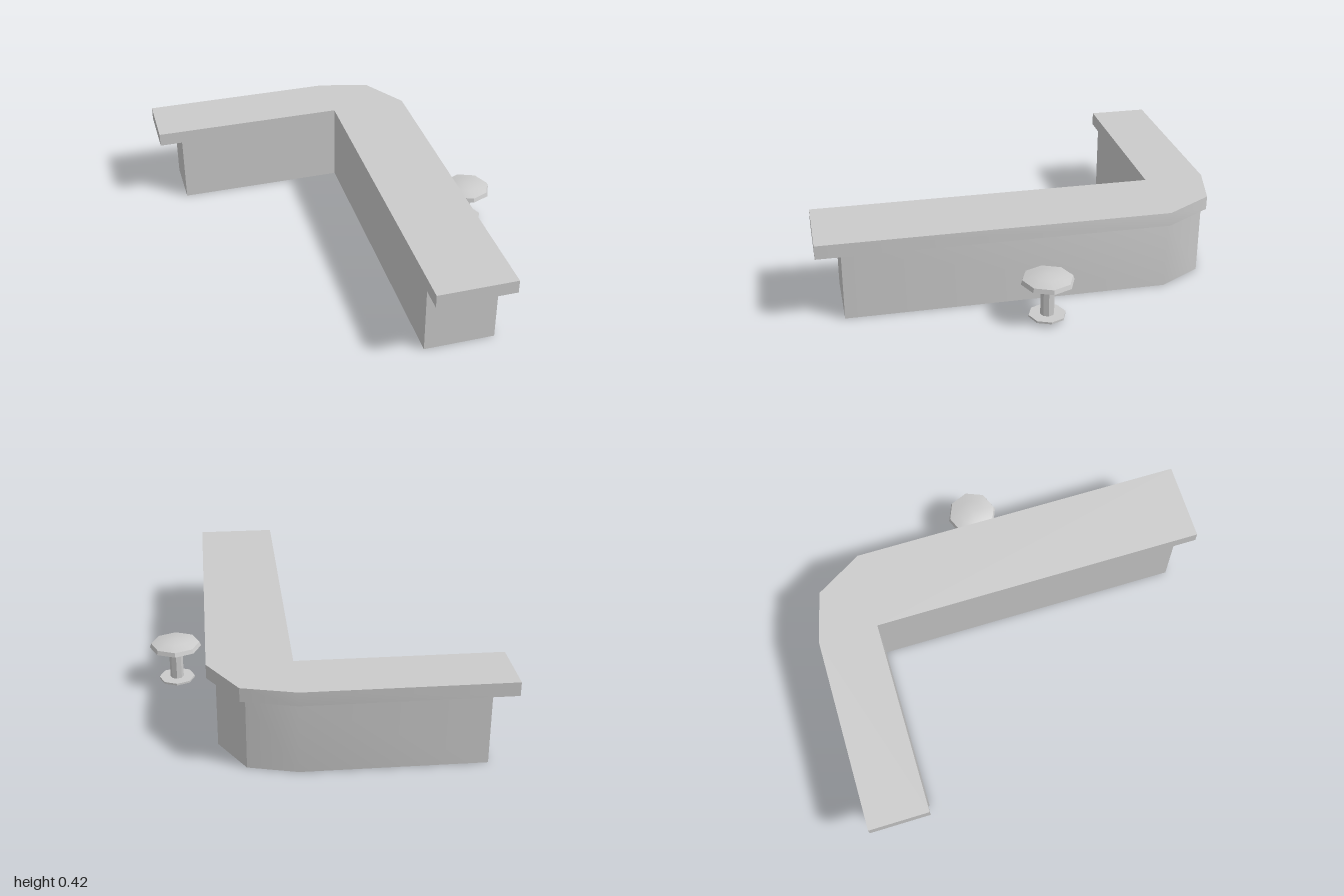
import * as THREE from 'three';
import { toCreasedNormals } from 'three/addons/utils/BufferGeometryUtils.js';

const grey = new THREE.MeshStandardMaterial({ color: 0xcccccc });
const CREASE = 0.65;

function addMesh(parent, name, geometry) {
  const mesh = new THREE.Mesh(toCreasedNormals(geometry, CREASE), grey);
  mesh.name = name;
  parent.add(mesh);
  return mesh;
}

// Upright slab from a floor plan of [x, z] points
function slab(plan, y0, y1) {
  const shape = new THREE.Shape(plan.map(([x, z]) => new THREE.Vector2(x, -z)));
  return new THREE.ExtrudeGeometry(shape, { depth: y1 - y0, bevelEnabled: false })
    .rotateX(-Math.PI / 2)
    .translate(0, y0, 0);
}

// L-shaped plan with a two-facet outer corner; the inner corner is shared
function cornerPlan(left, back, right, front, bend) {
  const innerX = 0.148, innerZ = -0.7;
  return [
    [left, back], [innerX, back], bend, [right, innerZ],
    [right, front], [innerX, front], [innerX, innerZ], [left, innerZ],
  ];
}

// Eight-sided turned part from a [radius, height] profile
function turned(profile) {
  return new THREE.LatheGeometry(profile.map(([r, y]) => new THREE.Vector2(r, y)), 8);
}

export function createModel() {
  const model = new THREE.Group();
  model.name = 'counterWithStool';

  // Counter: body and overhanging top
  const counter = new THREE.Group();
  counter.name = 'counter';
  addMesh(counter, 'counterBody', slab(cornerPlan(-0.715, -0.977, 0.503, 0.88, [0.378, -0.917]), 0, 0.35));
  addMesh(counter, 'counterTop', slab(cornerPlan(-0.832, -1, 0.545, 1, [0.403, -0.935]), 0.35, 0.418));
  model.add(counter);

  // Stool: foot disc, stem and domed seat
  const stool = new THREE.Group();
  stool.name = 'stool';
  stool.position.set(0.699, 0, -0.055);
  addMesh(stool, 'stoolFoot', turned([[0, 0.021], [0.09, 0.021], [0.09, 0.031], [0, 0.031]]));
  addMesh(stool, 'stoolStem', new THREE.CylinderGeometry(0.034, 0.034, 0.172, 8, 1, true).translate(0, 0.116, 0));
  addMesh(stool, 'stoolSeat', turned([[0, 0.2], [0.129, 0.2], [0.122, 0.221], [0.068, 0.236], [0, 0.243]]));
  model.add(stool);

  return model;
}
